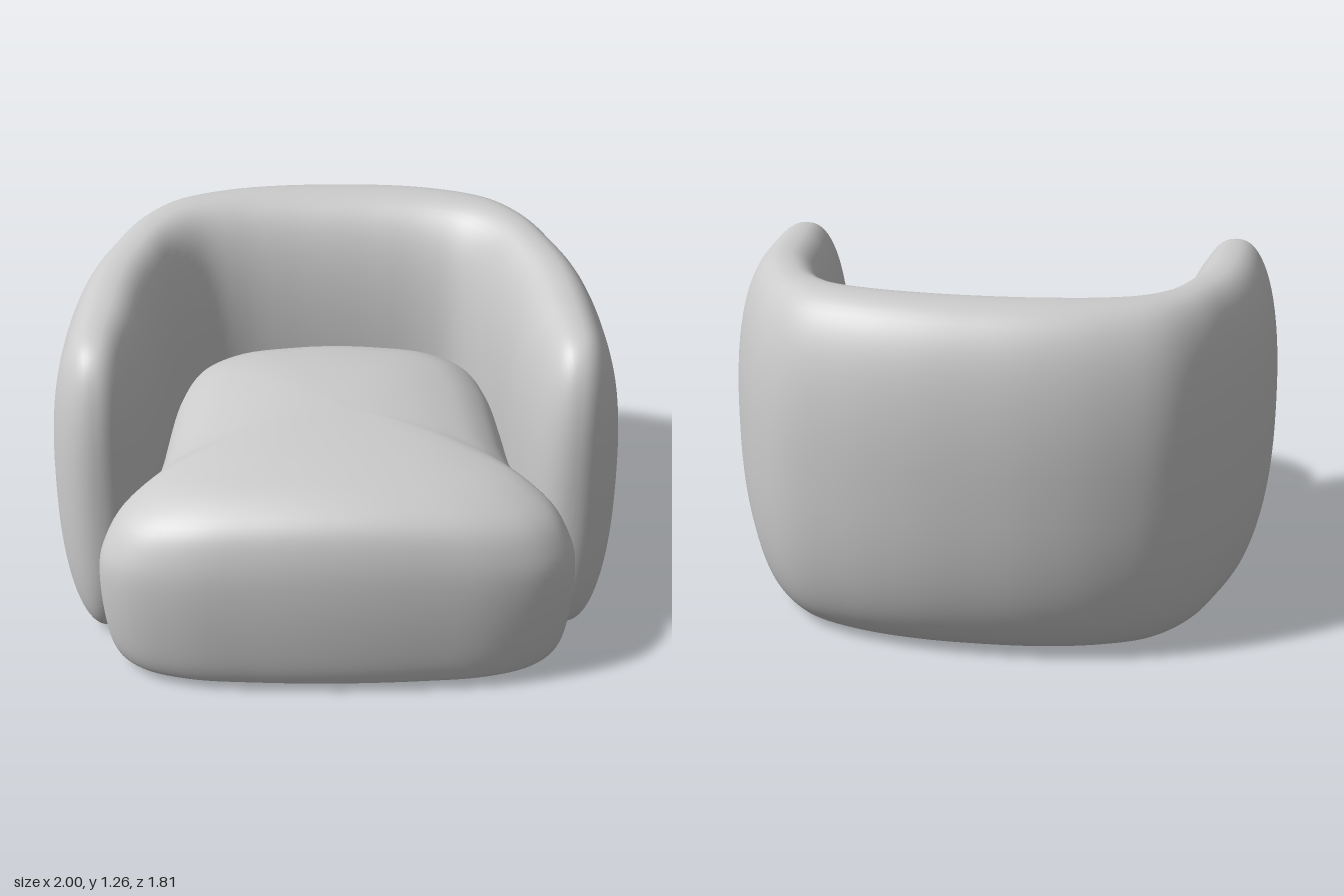
import * as THREE from 'three';

const material = new THREE.MeshStandardMaterial({ color: 0xcccccc, side: THREE.DoubleSide });

// Skin over rows of points; every row is a closed loop of equal length.
function loft(name, rows) {
  const n = rows[0].length, index = [];
  for (let i = 0; i < rows.length - 1; i++) {
    for (let j = 0; j < n; j++) {
      const a = i * n + j, b = i * n + (j + 1) % n;
      index.push(a, b, a + n, b, b + n, a + n);
    }
  }
  const geometry = new THREE.BufferGeometry().setFromPoints(rows.flat());
  geometry.setIndex(index);
  geometry.computeVertexNormals();
  const mesh = new THREE.Mesh(geometry, material);
  mesh.name = name;
  return mesh;
}

const plan = ([x, z]) => new THREE.Vector3(x, 0, z);
const flip = ([x, z]) => [-x, z];
const signedPow = (v, p) => Math.sign(v) * Math.abs(v) ** p;

// Curve through a half plan mirrored across x = 0, from -x to +x.
const mirroredCurve = (half) =>
  new THREE.CatmullRomCurve3([...half.slice(1).reverse().map(flip), ...half].map(plan));

// Back and arms: one padded roll swept around the seat, with rounded ends.
function makeWrap() {
  const outer = mirroredCurve([[0, -0.905], [0.22, -0.895], [0.45, -0.85], [0.66, -0.76], [0.8, -0.6],
    [0.89, -0.4], [0.955, -0.2], [0.988, 0], [1, 0.2], [0.995, 0.38], [0.975, 0.595]]);
  const inner = mirroredCurve([[0, -0.42], [0.17, -0.415], [0.33, -0.395], [0.45, -0.35], [0.53, -0.26],
    [0.575, -0.13], [0.595, -0.04], [0.605, 0.04], [0.62, 0.2], [0.65, 0.38], [0.665, 0.595]]);
  const rows = [], steps = 160, sides = 72, capStart = 0.33, capEnd = 0.595;
  for (let i = 0; i <= steps; i++) {
    const u = (1 - Math.cos(Math.PI * i / steps)) / 2;
    const o = outer.getPoint(u), c = inner.getPoint(u).add(o).multiplyScalar(0.5);
    const reach = o.sub(c);
    const t = THREE.MathUtils.clamp((c.z - capStart) / (capEnd - capStart), 0, 1);
    const wide = (1 - t ** 2.3) ** (1 / 2.3), tall = (1 - t ** 3.3) ** (1 / 3.3);
    const half = (1.257 - 0.085 * Math.max(0, c.z + 0.65)) / 2;
    const row = [];
    for (let j = 0; j < sides; j++) {
      const a = j / sides * Math.PI * 2, e = 2 / 2.4;
      const p = c.clone().addScaledVector(reach, signedPow(Math.cos(a), e) * wide);
      p.y = half + half * tall * signedPow(Math.sin(a), e);
      row.push(p);
    }
    rows.push(row);
  }
  return loft('backAndArms', rows);
}

// Seat: T-shaped cushion, crowned on top, with an opening underneath.
function makeSeat() {
  const half = [[0, 0.905], [0.3, 0.895], [0.55, 0.87], [0.72, 0.81], [0.81, 0.72], [0.825, 0.64],
    [0.79, 0.57], [0.71, 0.47], [0.66, 0.3], [0.64, 0.05], [0.62, -0.2], [0.56, -0.4],
    [0.42, -0.5], [0.2, -0.53], [0, -0.54]];
  const loop = [...half, ...half.slice(1, -1).reverse().map(flip)].map(plan);
  const outline = new THREE.CatmullRomCurve3(loop, true).getPoints(144).slice(0, -1);

  // Opening: rounded rectangle in the underside
  const hole = outline.map(({ x, z }) => {
    const dz = z - 0.09;
    const r = (Math.abs(x / 0.52) ** 5 + Math.abs(dz / 0.47) ** 5) ** -0.2;
    return new THREE.Vector3(x * r, 0.025, 0.09 + dz * r);
  });

  // Side profile as (outline scale, height)
  const profile = new THREE.CatmullRomCurve3([[0.88, 0.025], [0.93, 0.035], [0.96, 0.08], [0.985, 0.18],
    [1, 0.38], [0.98, 0.54], [0.92, 0.65], [0.78, 0.72], [0.57, 0.757], [0.3, 0.778], [0, 0.785]]
    .map(([s, y]) => new THREE.Vector3(s, y, 0))).getPoints(50);
  const rows = profile.map(({ x: s, y }) => outline.map((p) => {
    const x = p.x * s;
    const crown = THREE.MathUtils.smoothstep(y, 0.35, 0.65);
    return new THREE.Vector3(x, y - 0.12 * x * x * crown, 0.2 + (p.z - 0.2) * s);
  }));
  return loft('seatCushion', [hole, ...rows]);
}

export function createModel() {
  const group = new THREE.Group();
  group.name = 'armchair';
  group.add(makeWrap(), makeSeat());
  return group;
}
